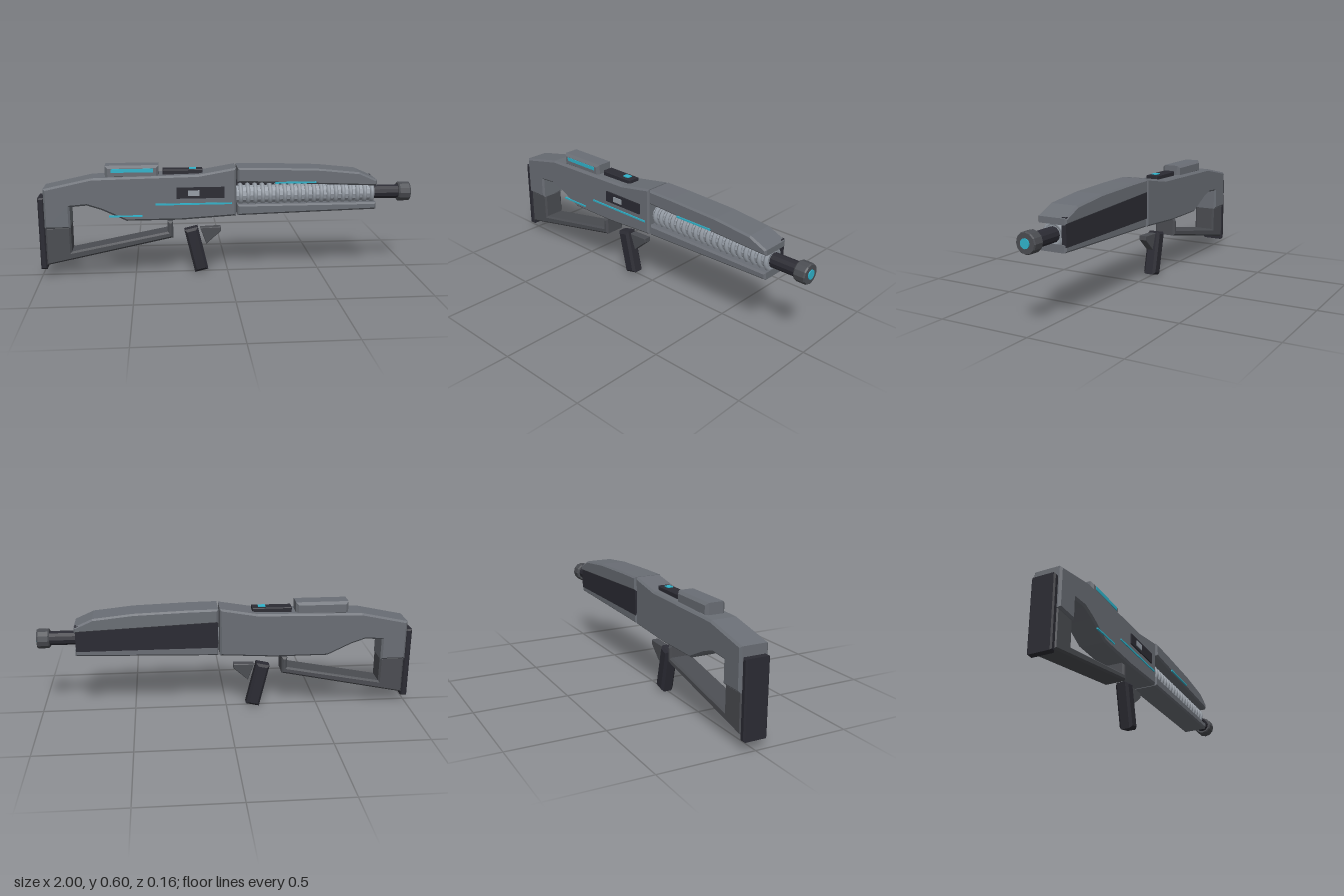
import * as THREE from 'three';

const mat = (name, color) => Object.assign(new THREE.MeshStandardMaterial({ color }), { name });

export function createModel() {
  const group = new THREE.Group();
  const shell = mat('shell grey', 0x6a6e75);
  const frame = mat('frame grey', 0x4b4d52);
  const dark = mat('dark polymer', 0x2b2b33);
  const steel = mat('light steel', 0x969da6);
  const glow = mat('cyan light', 0x30b4cc);

  const add = (name, geometry, material, x = 0, y = 0, z = 0) => {
    const mesh = new THREE.Mesh(geometry, material);
    mesh.name = name;
    mesh.position.set(x, y, z);
    group.add(mesh);
    return mesh;
  };

  // Side outline extruded from z0 to z1 with chamfered edges
  const slab = (name, pts, z0, z1, bevel, material) => {
    const shape = new THREE.Shape(pts.map(([x, y]) => new THREE.Vector2(x, y)));
    const geometry = new THREE.ExtrudeGeometry(shape, {
      depth: z1 - z0 - 2 * bevel, bevelEnabled: true, bevelSegments: 1,
      bevelSize: bevel, bevelThickness: bevel, bevelOffset: -bevel,
    });
    geometry.translate(0, 0, z0 + bevel);
    return add(name, geometry, material);
  };
  const block = (name, x0, x1, y0, y1, z0, z1, bevel, material) =>
    slab(name, [[x0, y0], [x1, y0], [x1, y1], [x0, y1]], z0, z1, bevel, material);
  const plate = (name, x0, x1, y0, y1, z0, z1, material) =>
    add(name, new THREE.BoxGeometry(x1 - x0, y1 - y0, z1 - z0), material,
      (x0 + x1) / 2, (y0 + y1) / 2, (z0 + z1) / 2);

  // Receiver with the upper part of the stock
  slab('receiver', [
    [-0.968, 0.273], [-0.834, 0.273], [-0.834, 0.388], [-0.745, 0.395], [-0.67, 0.37],
    [-0.54, 0.308], [-0.25, 0.308], [0.04, 0.325], [0.04, 0.584], [-0.16, 0.55],
    [-0.717, 0.54], [-0.968, 0.487],
  ], -0.077, 0.072, 0.01, shell);

  // Open lower stock and butt pad
  slab('lowerStock', [
    [-0.968, 0.07], [-0.295, 0.208], [-0.295, 0.298], [-0.325, 0.298], [-0.325, 0.24],
    [-0.834, 0.142], [-0.834, 0.28], [-0.968, 0.28],
  ], -0.065, 0.06, 0.01, frame);
  block('buttPad', -1, -0.967, 0.05, 0.437, -0.065, 0.06, 0.007, dark);

  // Handguard: upper cover, lower rail and closed back
  slab('upperHandguard', [
    [0.048, 0.508], [0.797, 0.476], [0.797, 0.507], [0.7, 0.55], [0.49, 0.572], [0.2, 0.582],
    [0.048, 0.584],
  ], -0.081, 0.078, 0.009, shell);
  slab('lowerHandguard', [
    [0.048, 0.326], [0.797, 0.346], [0.797, 0.384], [0.048, 0.384],
  ], -0.076, 0.071, 0.009, shell);
  plate('backPanel', 0.05, 0.792, 0.372, 0.512, -0.077, -0.052, dark);

  // Coiled barrel sleeve
  const AY = 0.427, AZ = -0.003;
  const rod = (name, r, x0, x1, material, sides = 12) => {
    const geometry = new THREE.CylinderGeometry(r, r, x1 - x0, sides).toNonIndexed();
    geometry.computeVertexNormals();
    geometry.rotateZ(-Math.PI / 2);
    return add(name, geometry, material, (x0 + x1) / 2, AY, AZ);
  };
  rod('coilCore', 0.048, 0.045, 0.79, steel);
  const ring = new THREE.TorusGeometry(0.05, 0.0125, 6, 16).rotateY(Math.PI / 2);
  const RINGS = 19;
  for (let i = 0; i < RINGS; i++) {
    add('coilRing' + (i + 1), ring, steel, 0.068 + (i * 0.712) / (RINGS - 1), AY, AZ);
  }

  // Barrel, muzzle and emitter
  rod('barrel', 0.038, 0.78, 0.94, dark);
  const muzzleProfile = [[0, 0], [0.047, 0], [0.053, 0.007], [0.053, 0.058], [0.049, 0.065], [0, 0.065]]
    .map(([r, h]) => new THREE.Vector2(r, h));
  const muzzleGeometry = new THREE.LatheGeometry(muzzleProfile, 12).toNonIndexed();
  muzzleGeometry.computeVertexNormals();
  muzzleGeometry.rotateZ(-Math.PI / 2);
  add('muzzle', muzzleGeometry, frame, 0.93, AY, AZ);
  rod('emitter', 0.024, 0.992, 1.0, glow, 16);

  // Sight housing and top module
  block('sightHousing', -0.647, -0.366, 0.53, 0.6, -0.055, 0.051, 0.014, shell);
  plate('sightLight', -0.615, -0.396, 0.565, 0.584, 0.047, 0.054, glow);
  block('topModule', -0.345, -0.135, 0.535, 0.572, -0.036, 0.03, 0.004, dark);
  plate('topModuleLight', -0.206, -0.168, 0.57, 0.577, -0.017, 0.014, glow);

  // Side panel and light strips
  plate('sidePanel', -0.275, -0.022, 0.426, 0.485, 0.07, 0.079, dark);
  plate('sideSwitch', -0.216, -0.155, 0.441, 0.47, 0.077, 0.083, steel);
  plate('longLight', -0.387, 0.016, 0.391, 0.4, 0.069, 0.077, glow);
  plate('rearLight', -0.63, -0.455, 0.332, 0.34, 0.069, 0.077, glow);
  plate('handguardLight', 0.246, 0.465, 0.498, 0.507, 0.075, 0.083, glow);

  // Slanted grip and trigger guard
  const grip = block('grip', -0.037, 0.037, -0.122, 0.122, -0.036, 0.036, 0.013, dark);
  grip.position.set(-0.171, 0.128, -0.001);
  grip.rotation.z = 0.23;
  slab('triggerGuard', [
    [-0.15, 0.248], [-0.117, 0.158], [-0.037, 0.228], [-0.037, 0.252],
  ], -0.023, 0.019, 0.003, frame);

  return group;
}
